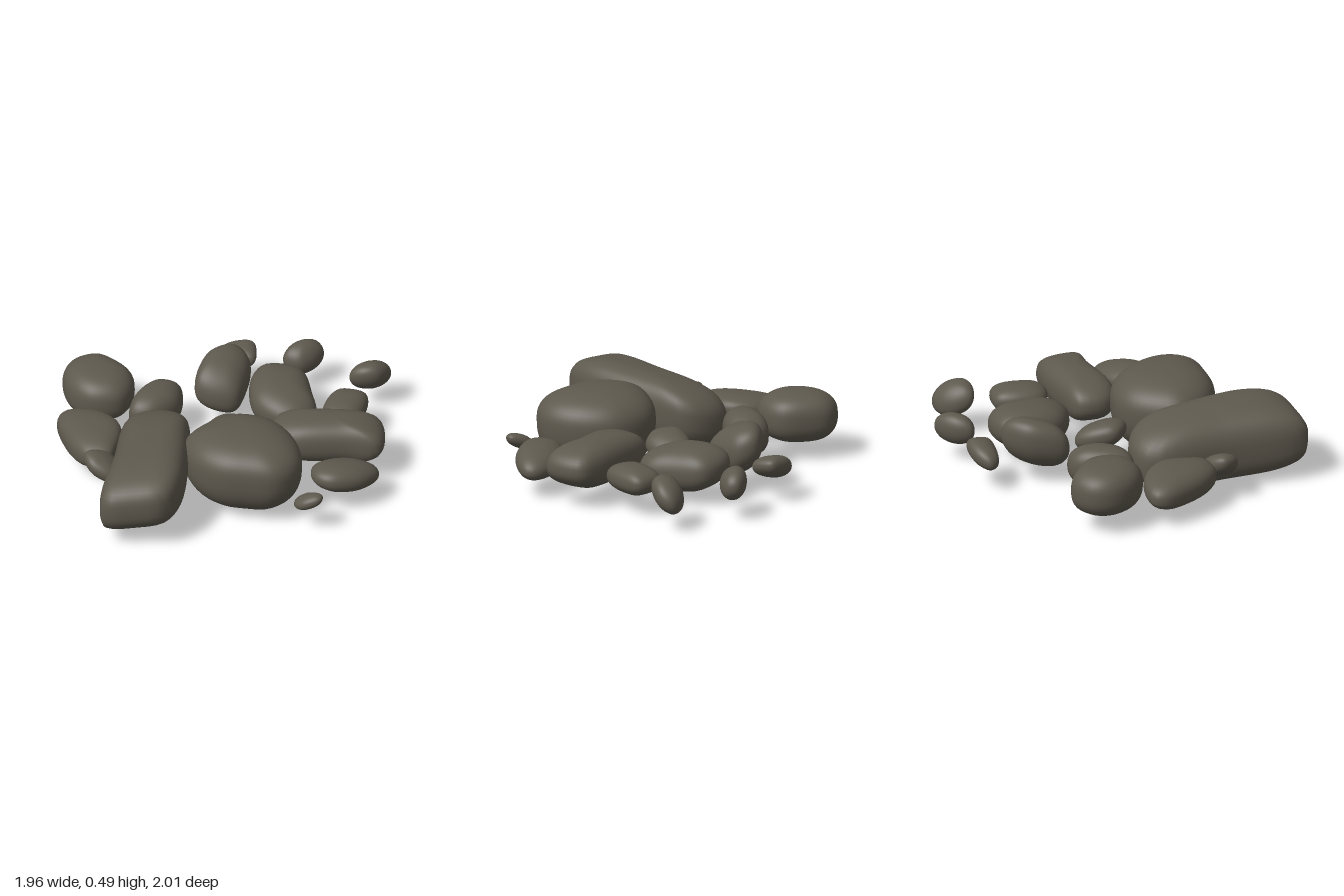
import * as THREE from 'three';
import { mergeVertices } from 'three/addons/utils/BufferGeometryUtils.js';

const SIDES = 48, RINGS = 28;

// Rounded stone: plan outline [x, z, ...] clockwise from above, swept over a superellipse profile.
// waist: height fraction of the widest level; top/bottom: squareness; tilt: slope along x and z
function stoneGeometry(outline, y0, y1, { waist = 0.5, top = 2.5, bottom = 2.3, tilt = [0, 0] }) {
  const pts = [];
  for (let i = 0; i < outline.length; i += 2) pts.push(new THREE.Vector3(outline[i], 0, outline[i + 1]));
  const plan = new THREE.CatmullRomCurve3(pts, true, 'centripetal').getSpacedPoints(SIDES).slice(0, SIDES);
  const c = new THREE.Box3().setFromPoints(plan).getCenter(new THREE.Vector3());

  const pos = [], index = [];
  for (let i = 0; i <= RINGS; i++) {
    const a = (i / RINGS - 0.5) * Math.PI, up = a > 0;
    const n = up ? top : bottom;
    const r = i % RINGS === 0 ? 0 : Math.pow(Math.cos(a), 2 / n);
    const t = Math.sign(a) * Math.pow(Math.abs(Math.sin(a)), 2 / n);
    const h = waist + t * (up ? 1 - waist : waist);
    for (const p of plan) {
      const dx = (p.x - c.x) * r, dz = (p.z - c.z) * r;
      pos.push(c.x + dx, h * (y1 - y0) + tilt[0] * dx + tilt[1] * dz, c.z + dz);
    }
  }
  // refit the tilted stone to its height range
  let lo = Infinity, hi = -Infinity;
  for (let k = 1; k < pos.length; k += 3) { lo = Math.min(lo, pos[k]); hi = Math.max(hi, pos[k]); }
  for (let k = 1; k < pos.length; k += 3) pos[k] = y0 + (pos[k] - lo) / (hi - lo) * (y1 - y0);

  for (let i = 0; i < RINGS; i++) for (let j = 0; j < SIDES; j++) {
    const a = i * SIDES + j, b = i * SIDES + (j + 1) % SIDES, d = b + SIDES, e = a + SIDES;
    if (i < RINGS - 1) index.push(a, e, d);
    if (i > 0) index.push(a, d, b);
  }
  let g = new THREE.BufferGeometry();
  g.setAttribute('position', new THREE.Float32BufferAttribute(pos, 3));
  g.setIndex(index);
  g = mergeVertices(g, 1e-5);
  g.computeVertexNormals();
  return g;
}

export function createModel() {
  const group = new THREE.Group();
  group.name = 'stoneCluster';
  const rock = new THREE.MeshStandardMaterial({ color: 0x5e594e });
  rock.name = 'greyBrownRock';

  const stone = (name, outline, y0, y1, shape = {}) => {
    const mesh = new THREE.Mesh(stoneGeometry(outline, y0, y1, shape), rock);
    mesh.name = name;
    group.add(mesh);
  };

  // Two large front stones, the slab with a keel under its back half
  stone('longSlab', [-0.53, 0.05, -0.42, -0.04, -0.26, -0.025, -0.17, 0.05, -0.12, 0.27, -0.075, 0.77,
    -0.14, 0.94, -0.32, 0.99, -0.49, 0.995, -0.525, 0.91, -0.53, 0.5], 0.02, 0.465,
  { top: 2.8, bottom: 2.9, tilt: [0.16, 0.06] });
  stone('slabKeel', [-0.57, 0.18, -0.52, 0.05, -0.4, 0.02, -0.28, 0.1, -0.27, 0.28, -0.36, 0.4, -0.52, 0.33],
    0, 0.2, { tilt: [0.1, 0] });
  stone('bigBoulder', [-0.145, 0.34, -0.09, 0.2, 0.03, 0.06, 0.16, 0.015, 0.35, 0.05, 0.5, 0.2, 0.565, 0.38,
    0.545, 0.5, 0.45, 0.6, 0.29, 0.62, 0.11, 0.61, -0.05, 0.52], 0.012, 0.485,
  { waist: 0.6, top: 2.5, bottom: 2.45, tilt: [0, 0.03] });

  // Stones on the -x side
  stone('sideStoneBack', [-0.98, -0.32, -0.95, -0.45, -0.82, -0.53, -0.69, -0.48, -0.57, -0.37, -0.555, -0.24,
    -0.61, -0.13, -0.77, -0.09, -0.9, -0.16], 0.09, 0.39, { top: 2.6, bottom: 2.6 });
  stone('sideStoneFront', [-0.95, 0, -0.92, -0.07, -0.79, -0.085, -0.66, -0.04, -0.56, 0.07, -0.55, 0.24,
    -0.58, 0.36, -0.69, 0.38, -0.78, 0.32, -0.89, 0.16], 0.09, 0.29, { tilt: [0.12, -0.04], bottom: 2.6 });
  stone('sidePebble', [-0.71, 0.43, -0.66, 0.36, -0.56, 0.33, -0.5, 0.4, -0.51, 0.52, -0.65, 0.52],
    0.12, 0.29, { tilt: [-0.5, 0], top: 2.1, bottom: 2.1 });

  // Middle row
  stone('middleStoneLeft', [-0.55, -0.16, -0.5, -0.32, -0.42, -0.41, -0.3, -0.4, -0.27, -0.24, -0.33, -0.13,
    -0.42, -0.06, -0.53, -0.07], 0.065, 0.33, { tilt: [-0.05, 0] });
  stone('middleStoneSmall', [-0.07, -0.05, -0.02, -0.19, 0.06, -0.25, 0.15, -0.19, 0.16, 0, 0.08, 0.06,
    -0.02, 0.02], 0.09, 0.275, { tilt: [-0.2, 0.2], top: 2.2, bottom: 2.1 });
  stone('middleStoneTall', [-0.22, -0.42, -0.18, -0.61, -0.03, -0.72, 0.06, -0.66, 0.07, -0.51, 0.03, -0.37,
    -0.1, -0.34, -0.2, -0.37], 0.085, 0.405, { tilt: [-0.22, -0.3], top: 2.4, bottom: 2.2 });
  stone('middleStoneLarge', [0.09, -0.56, 0.13, -0.66, 0.24, -0.7, 0.37, -0.68, 0.46, -0.5, 0.51, -0.34,
    0.44, -0.23, 0.32, -0.21, 0.16, -0.29, 0.1, -0.42], 0.06, 0.335, { top: 2.4, tilt: [-0.1, -0.05] });

  // Stones on the +x side
  stone('flatSlab', [0.29, -0.08, 0.32, -0.16, 0.5, -0.21, 0.8, -0.25, 0.92, -0.22, 0.955, 0.02, 0.77, 0.05,
    0.43, 0.1, 0.31, 0.03], 0.09, 0.37, { top: 2.5, bottom: 2.2 });
  stone('outerStone', [0.55, -0.45, 0.6, -0.56, 0.67, -0.575, 0.77, -0.55, 0.785, -0.4, 0.74, -0.26, 0.66, -0.24,
    0.56, -0.29], 0.11, 0.28, { top: 2.4, bottom: 2.1 });
  stone('wedgeStone', [0.6, 0.27, 0.67, 0.17, 0.82, 0.1, 0.95, 0.12, 0.98, 0.18, 0.9, 0.33, 0.74, 0.415,
    0.64, 0.38], 0.1, 0.285, { top: 2.2, bottom: 2.1, tilt: [-0.1, 0.13] });
  stone('frontPebble', [0.555, 0.53, 0.62, 0.5, 0.72, 0.55, 0.71, 0.6, 0.62, 0.62, 0.56, 0.58],
    0.14, 0.25, { top: 2.1, bottom: 2.1, tilt: [0.45, 0] });

  // Back pebbles
  stone('backPebbleLeft', [-0.19, -0.83, -0.12, -0.9, 0.03, -0.915, 0.06, -0.86, 0.06, -0.77, -0.05, -0.755,
    -0.16, -0.78], 0.13, 0.28, { tilt: [0.2, -0.2], top: 2.2, bottom: 2.1 });
  stone('backPebbleMiddle', [0.225, -0.82, 0.24, -0.9, 0.32, -0.98, 0.4, -1, 0.44, -0.95, 0.4, -0.85, 0.32, -0.79],
    0.11, 0.3, { top: 2.1, bottom: 2.1, tilt: [-0.1, -0.1] });
  stone('backPebbleRight', [0.64, -0.7, 0.65, -0.79, 0.72, -0.87, 0.82, -0.89, 0.86, -0.82, 0.81, -0.7, 0.72, -0.67],
    0.1, 0.31, { top: 2.1, bottom: 2.1, tilt: [0.15, 0.45] });

  return group;
}
